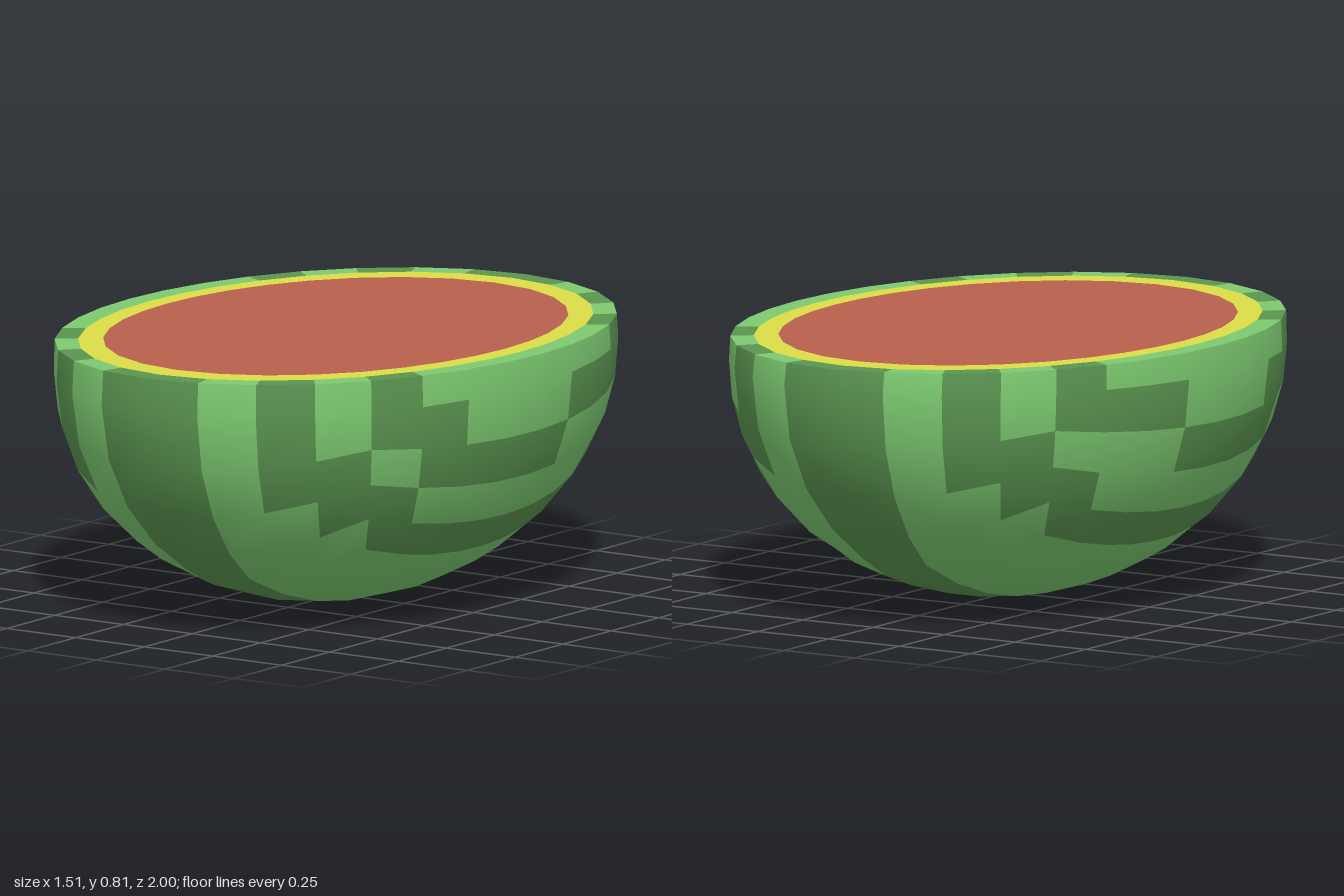
import * as THREE from 'three';

const TOP = 0.815;                                   // height of the cut
const RADII = new THREE.Vector3(0.755, 0.73, 1);     // melon half-sizes
const WEIGHT = new THREE.Vector3(1, 1.04, 0.84);     // spacing of the grid
const TILT = new THREE.Matrix4().makeRotationX(0.02);
const t = k => Math.tan(k * Math.PI / 16);

// Point and smooth normal on the melon, a rounded cube with an 8 x 8 grid per face
function skinPoint(face, i, j) {
  const row = j > 0 ? 0.56 : j;
  const dir = {
    front: () => [t(i), t(row), 1],
    back: () => [t(i), t(row), -1],
    left: () => [1, t(row), t(i)],
    right: () => [-1, t(row), t(i)],
    bottom: () => [t(i), -1, t(j)],
  }[face]();
  const d = new THREE.Vector3(...dir).multiply(WEIGHT).normalize();
  const n = d.clone().divide(RADII).normalize().transformDirection(TILT);
  const p = d.multiply(RADII).applyMatrix4(TILT);
  p.y += RADII.y;
  if (face !== 'bottom' && j > 0) p.y = TOP;         // level cut
  return { p, n };
}

// Stripe pattern: column i, row j of a face
function isDark(face, i, j) {
  const m = i >= 0 ? i : -1 - i;
  if (face === 'bottom') return m === 0;
  const row = -j;                                    // 0 is the row at the cut
  if (face === 'front' || face === 'back') {
    return m === 0 || (m === 2 && row <= 2) || (m === 3 && (row === 2 || row === 3));
  }
  if (row === 1) return i >= 2 || i <= -2;
  if (row === 2) return i >= -1 && i <= 2;
  return row === 4 || m === 3;
}

// Collects polygons, turning each to face along its normals
class Surface {
  positions = [];
  normals = [];
  tri(a, b, c) {
    const cross = b.p.clone().sub(a.p).cross(c.p.clone().sub(a.p));
    const order = cross.dot(a.n) < 0 ? [a, c, b] : [a, b, c];
    for (const v of order) {
      this.positions.push(v.p.x, v.p.y, v.p.z);
      this.normals.push(v.n.x, v.n.y, v.n.z);
    }
  }
  quad(a, b, c, d) {
    this.tri(a, b, c);
    this.tri(a, c, d);
  }
  mesh(name, color) {
    const g = new THREE.BufferGeometry();
    g.setAttribute('position', new THREE.Float32BufferAttribute(this.positions, 3));
    g.setAttribute('normal', new THREE.Float32BufferAttribute(this.normals, 3));
    const mesh = new THREE.Mesh(g, new THREE.MeshStandardMaterial({ color }));
    mesh.name = name;
    return mesh;
  }
}

export function createModel() {
  const light = new Surface(), dark = new Surface(), pith = new Surface(), flesh = new Surface();
  const up = new THREE.Vector3(0, 1, 0);
  const centre = { p: new THREE.Vector3(0, TOP, 0), n: up };
  const inset = (v, sx, sz) => ({ p: new THREE.Vector3(v.p.x * sx, TOP, v.p.z * sz), n: up });

  for (const face of ['front', 'back', 'left', 'right', 'bottom']) {
    const lastRow = face === 'bottom' ? 3 : 0;
    for (let i = -4; i < 4; i++) {
      for (let j = -4; j <= lastRow; j++) {
        // Striped skin
        const skin = isDark(face, i, j) ? dark : light;
        const a = skinPoint(face, i, j), b = skinPoint(face, i + 1, j);
        const c = skinPoint(face, i + 1, j + 1), d = skinPoint(face, i, j + 1);
        skin.quad(a, b, c, d);

        // Cut face: rind edge, pith ring and flesh
        if (face !== 'bottom' && j === 0) {
          const rings = [[1, 1], [0.907, 0.928], [0.82, 0.837]]
            .map(([sx, sz]) => [inset(d, sx, sz), inset(c, sx, sz)]);
          skin.quad(rings[0][0], rings[0][1], rings[1][1], rings[1][0]);
          pith.quad(rings[1][0], rings[1][1], rings[2][1], rings[2][0]);
          flesh.tri(rings[2][0], rings[2][1], centre);
        }
      }
    }
  }

  const group = new THREE.Group();
  group.name = 'halfMelon';
  group.add(
    light.mesh('lightRind', 0x7cc970),
    dark.mesh('darkRindStripes', 0x5a9450),
    pith.mesh('pithRing', 0xdcdc48),
    flesh.mesh('flesh', 0xb8604c),
  );
  return group;
}
